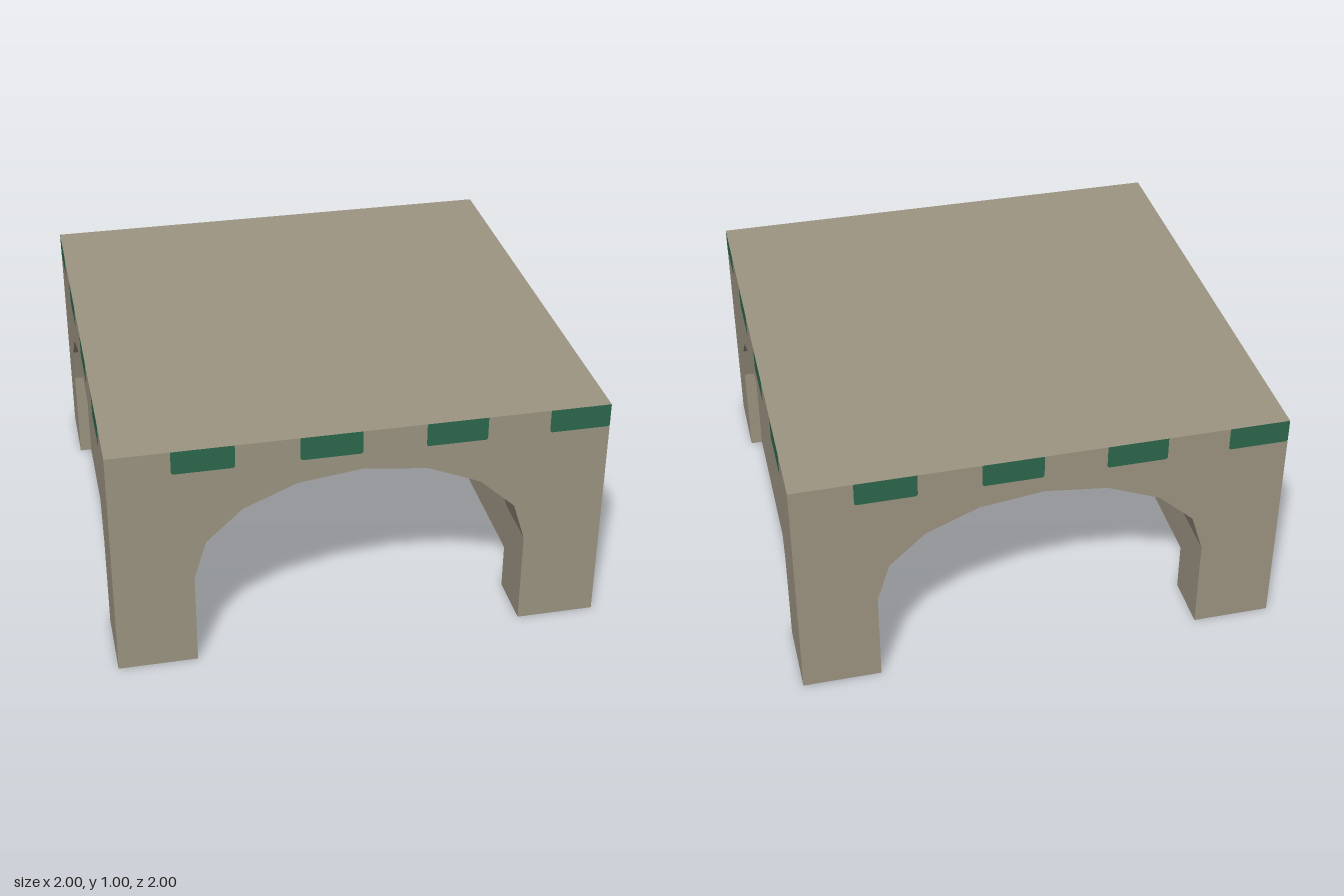
import * as THREE from 'three';

const stone = new THREE.MeshStandardMaterial({ color: 0x9d9583, side: THREE.DoubleSide });
stone.name = 'stone';
const green = new THREE.MeshStandardMaterial({ color: 0x2d684c, side: THREE.DoubleSide });
green.name = 'green trim';

// Arch outline from the left foot over the crown to the right foot
const half = [[-0.677, 0], [-0.677, 0.405], [-0.626, 0.57], [-0.478, 0.707], [-0.26, 0.798]];
const arch = [...half, [0, 0.83], ...half.map(([x, y]) => [-x, y]).reverse()];

const ROOM = 0.77;      // half width of the inner room
const CEILING = 0.87;

const flat = (points) =>
  new THREE.ShapeGeometry(new THREE.Shape(points.map(([x, y]) => new THREE.Vector2(x, y))));

function add(parent, name, geometry, material = stone) {
  const mesh = new THREE.Mesh(geometry, material);
  mesh.name = name;
  parent.add(mesh);
  return mesh;
}

// Trim block hanging from the top edge, with slightly cut lower corners
function trimPoints(start) {
  const end = Math.min(start + 0.247, 1), c = 0.007;
  return [[start, 1], [start, 0.9 + c], [start + c, 0.9], [end - c, 0.9], [end, 0.9 + c], [end, 1]];
}

// Faceted band that lines an arch, running inwards from z = 1
function revealGeometry(depth) {
  const pos = [];
  for (let i = 0; i < arch.length - 1; i++) {
    const [a, b] = arch[i], [c, d] = arch[i + 1], back = 1 - depth;
    pos.push(a, b, 1, a, b, back, c, d, 1, c, d, 1, a, b, back, c, d, back);
  }
  const geometry = new THREE.BufferGeometry();
  geometry.setAttribute('position', new THREE.Float32BufferAttribute(pos, 3));
  geometry.computeVertexNormals();
  return geometry;
}

// One outer face with an arched opening and four trim blocks, facing +z
function createWall(name, firstTrim, depth) {
  const wall = new THREE.Group();
  wall.name = name;
  const trims = [0, 1, 2, 3].map((i) => trimPoints(firstTrim + 0.501 * i));
  const topEdge = [[-1, 1], ...trims.flat(), [1, 1]].filter(
    // a block that meets a corner replaces that corner point
    ([x, y], i, all) => !(y === 1 && Math.abs(x) === 1));
  const left = firstTrim === -1 ? [] : [[-1, 1]];
  const right = firstTrim === -1 ? [[1, 1]] : [];
  add(wall, 'archedFace', flat([[-1, 0], ...left, ...topEdge, ...right, [1, 0], ...[...arch].reverse()]))
    .position.z = 1;
  trims.forEach((points) => { add(wall, 'trimBlock', flat(points), green).position.z = 1; });
  add(wall, 'archReveal', revealGeometry(depth));
  return wall;
}

export function createModel() {
  const model = new THREE.Group();
  model.name = 'archedBlock';

  for (const k of [0, 1]) {
    // Open passage ends, front and back
    const end = createWall(k ? 'backWall' : 'frontWall', -0.75, 1 - ROOM);
    const inner = add(end, 'innerEndWall', flat([
      [-ROOM, 0], [-ROOM, CEILING], [ROOM, CEILING], [ROOM, 0], ...[...arch].reverse()]));
    inner.position.z = ROOM;
    inner.rotation.y = Math.PI;
    end.rotation.y = k * Math.PI;

    // Blind arches with a shallow recessed panel, left and right
    const side = createWall(k ? 'rightWall' : 'leftWall', -1, 0.05);
    add(side, 'recessedPanel', flat(arch)).position.z = 0.95;
    const lining = add(side, 'innerSideWall', new THREE.PlaneGeometry(2 * ROOM, CEILING));
    lining.position.set(0, CEILING / 2, ROOM);
    lining.rotation.y = Math.PI;
    side.rotation.y = Math.PI / 2 + k * Math.PI;

    model.add(end, side);
  }

  // Roof and the ceiling of the inner room; the underside stays open
  const roof = add(model, 'roof', new THREE.PlaneGeometry(2, 2));
  roof.rotation.x = -Math.PI / 2;
  roof.position.y = 1;
  const ceiling = add(model, 'ceiling', new THREE.PlaneGeometry(2 * ROOM, 2 * ROOM));
  ceiling.rotation.x = Math.PI / 2;
  ceiling.position.y = CEILING;

  return model;
}
